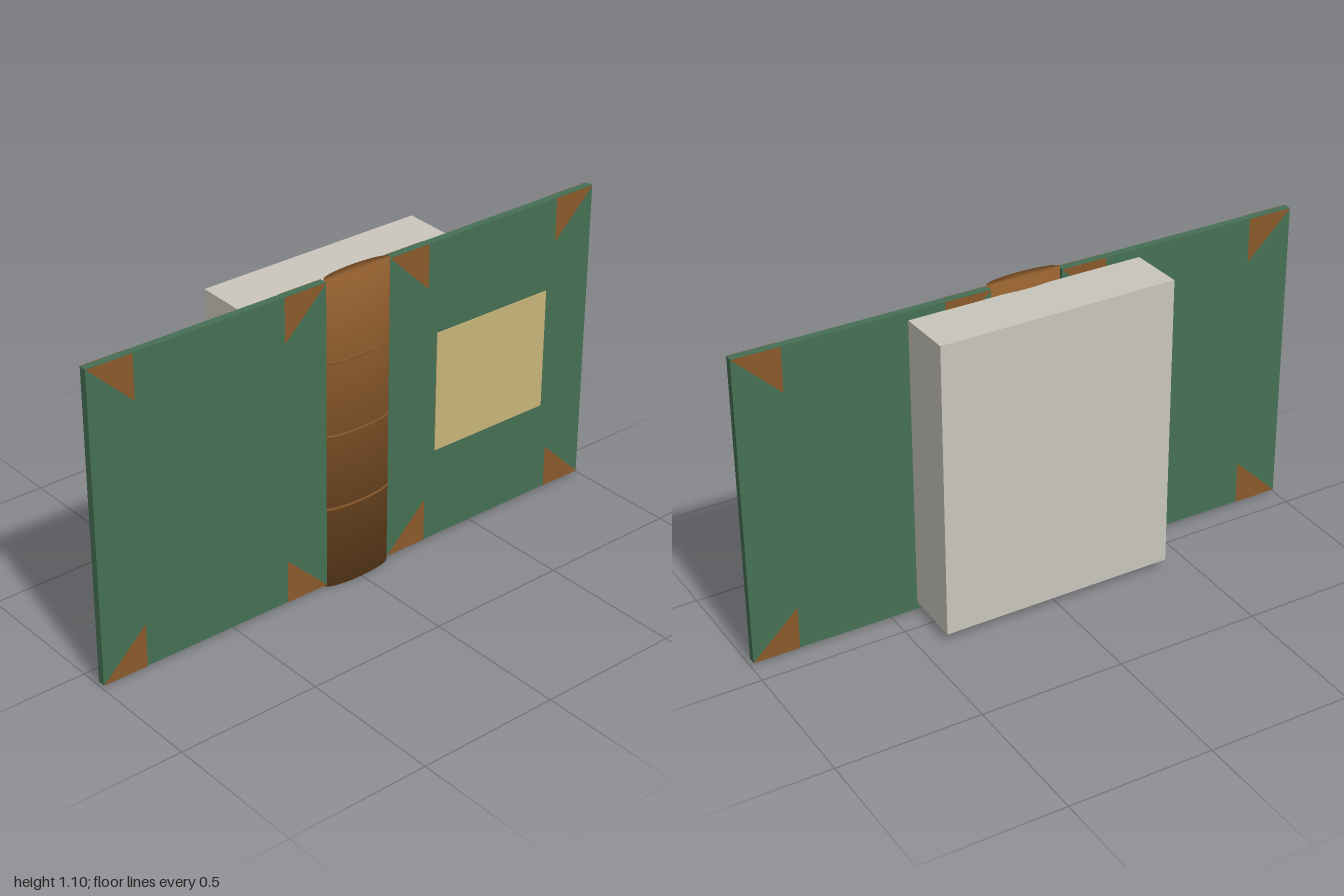
import * as THREE from 'three';
import { mergeVertices } from 'three/addons/utils/BufferGeometryUtils.js';

const mat = (name, color, side = THREE.FrontSide) => {
  const m = new THREE.MeshStandardMaterial({ color, side });
  m.name = name;
  return m;
};

const H = 1.1, COVER_W = 0.866, COVER_H = 1.082, COVER_T = 0.026;

export function createModel() {
  const green = mat('green cloth', 0x467054);
  const leather = mat('brown leather', 0x8b5a2b);
  const trim = mat('brown corner', 0x8b5a2b, THREE.DoubleSide);
  const paper = mat('paper', 0xcac6bc);
  const labelMat = mat('tan label', 0xc9b57a);

  const book = new THREE.Group();
  book.name = 'openBook';
  const add = (parent, name, geometry, material, x = 0, y = 0, z = 0) => {
    const mesh = new THREE.Mesh(geometry, material);
    mesh.name = name;
    mesh.position.set(x, y, z);
    parent.add(mesh);
    return mesh;
  };

  // Page block, a touch taller toward the back
  const block = new THREE.BoxGeometry(0.825, 1.033, 0.2);
  const p = block.attributes.position;
  for (let i = 0; i < p.count; i++) p.setY(i, p.getY(i) * (1 - p.getZ(i) * 0.06));
  block.computeVertexNormals();
  add(book, 'pageBlock', block, paper, 0, 0.553, -0.025);

  // Elliptical spine with normals softened over both ends
  let spine = new THREE.CylinderGeometry(0.13, 0.13, H, 48).scale(1, 1, 0.21);
  spine.deleteAttribute('uv');
  spine.deleteAttribute('normal');
  spine = mergeVertices(spine, 1e-5);
  spine.computeVertexNormals();
  const sp = spine.attributes.position, n = spine.attributes.normal;
  const v = new THREE.Vector3();
  for (let i = 0; i < sp.count; i++) {
    const x = sp.getX(i), y = sp.getY(i), z = sp.getZ(i);
    v.set(x / 0.13 ** 2, 0, z / 0.0273 ** 2).normalize();
    v.y = Math.sign(y);
    v.normalize();
    n.setXYZ(i, v.x, v.y, v.z);
  }
  add(book, 'spine', spine, leather, -0.002, H / 2, 0.097);

  // Thin raised bands around the spine
  for (const y of [0.29, 0.555, 0.815]) {
    const band = new THREE.TorusGeometry(0.129, 0.005, 8, 48).rotateX(Math.PI / 2).scale(1, 1, 0.215);
    add(book, 'spineBand', band, leather, -0.002, y, 0.097);
  }

  // Two covers with triangular corner pieces on both faces
  for (const side of [-1, 1]) {
    const cover = new THREE.Group();
    cover.name = side < 0 ? 'rightCover' : 'leftCover';
    cover.position.set(side * 0.561 - 0.003, 0.553, 0.091);
    cover.rotation.y = -0.006;
    book.add(cover);
    add(cover, 'coverBoard', new THREE.BoxGeometry(COVER_W, COVER_H, COVER_T), green);

    for (const sx of [-1, 1]) for (const sy of [-1, 1]) {
      const cx = sx * COVER_W / 2, cy = sy * COVER_H / 2;
      const points = [[cx, cy], [cx - sx * 0.16, cy], [cx - sx * 0.16, cy - sy * 0.155]];
      const corner = new THREE.ShapeGeometry(new THREE.Shape(points.map(([x, y]) => new THREE.Vector2(x, y))));
      // Every outline is turned so that its normal faces away from the board
      for (const face of [-1, 1]) {
        const g = corner.clone();
        if (face < 0) {
          g.setIndex([...g.index.array].reverse());
          g.computeVertexNormals();
        }
        add(cover, 'cornerPiece', g, trim, 0, 0, face * (COVER_T / 2 + 0.002));
      }
    }

    // Title plate on the model's left cover
    if (side > 0) add(cover, 'label', new THREE.BoxGeometry(0.475, 0.43, 0.004), labelMat, 0.005, 0.002, COVER_T / 2 + 0.001);
  }
  return book;
}
